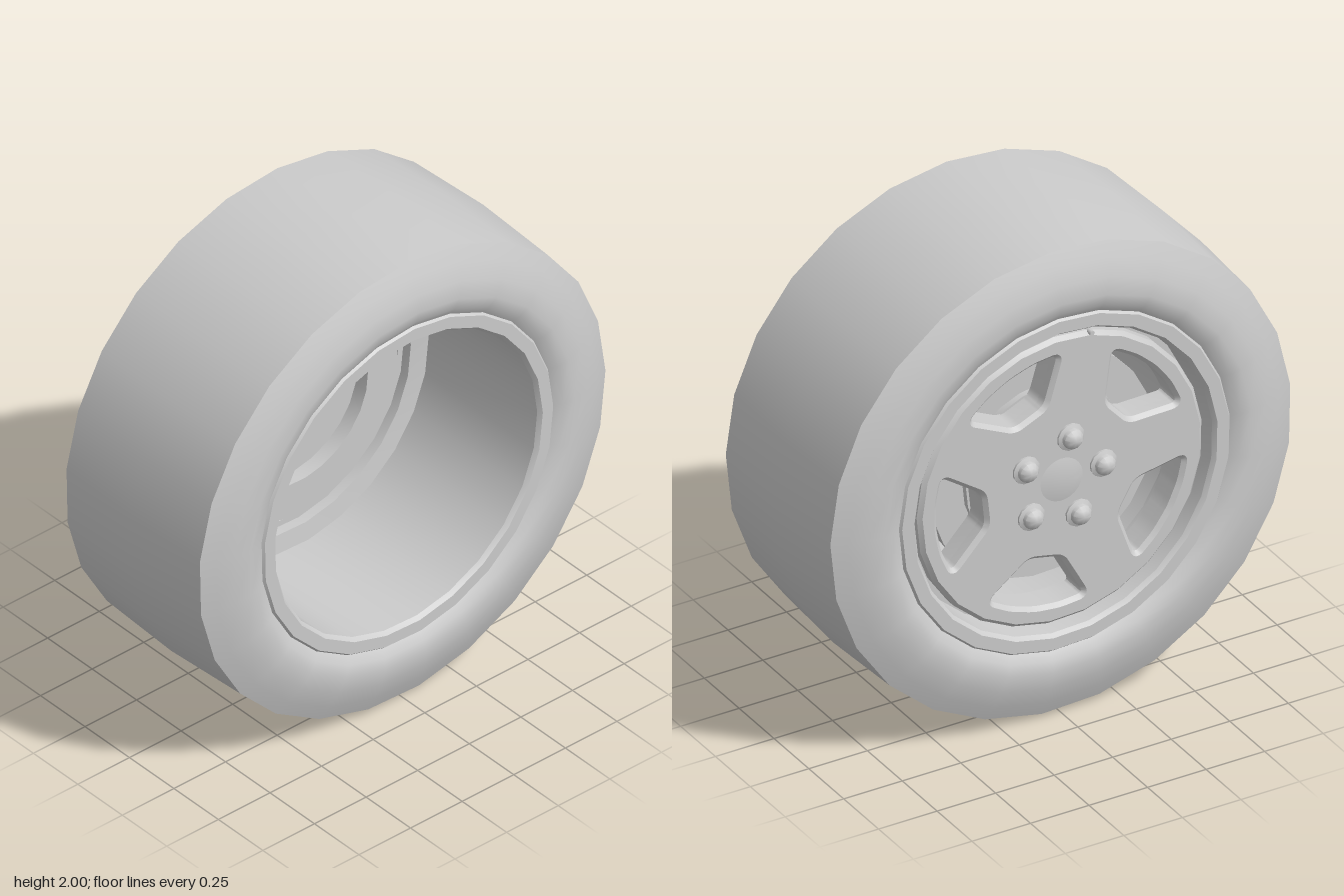
import * as THREE from 'three';
import { toCreasedNormals } from 'three/addons/utils/BufferGeometryUtils.js';

const SEG = 25, STEP = Math.PI * 2 / 5;
const rad = THREE.MathUtils.degToRad;
const SPOKE = rad(78); // direction of the first spoke
const polar = (r, a) => new THREE.Vector2(r * Math.cos(a), r * Math.sin(a));

export function createModel() {
  const model = new THREE.Group();
  model.name = 'wheel';
  const wheel = new THREE.Group(); // built with the axle on z, outer face at +z
  wheel.name = 'wheelAssembly';
  wheel.rotation.y = -Math.PI / 2;
  wheel.position.set(0, 0.999, 0.002);
  model.add(wheel);
  const material = new THREE.MeshStandardMaterial({ color: 0xcccccc });

  function add(name, geometry) {
    const mesh = new THREE.Mesh(geometry, material);
    mesh.name = name;
    wheel.add(mesh);
    return mesh;
  }

  // Profile of [radius, depth] turned around the z axis
  function turned(profile, segments = SEG, crease = 0.5) {
    const points = profile.map(([r, z]) => new THREE.Vector2(r, z));
    const g = new THREE.LatheGeometry(points, segments, rad(168));
    g.rotateX(Math.PI / 2);
    return toCreasedNormals(g, crease);
  }

  // Closed outline with softened corners
  function rounded(path, pts, radius) {
    const n = pts.length;
    const toward = (p, q) => p.clone().lerp(q, Math.min(0.5, radius / p.distanceTo(q)));
    pts.forEach((p, i) => {
      const a = toward(p, pts[(i + n - 1) % n]), b = toward(p, pts[(i + 1) % n]);
      if (i === 0) path.moveTo(a.x, a.y);
      else path.lineTo(a.x, a.y);
      path.quadraticCurveTo(p.x, p.y, b.x, b.y);
    });
    path.closePath();
    return path;
  }

  // Opening widening from an inner edge to an outer arc
  function opening(angle, r0, half0, r1, half1, radius) {
    const pts = [polar(r0, angle + half0), polar(r0, angle - half0)];
    for (let i = 0; i <= 4; i++) pts.push(polar(r1, angle - half1 + half1 * i / 2));
    return rounded(new THREE.Path(), pts, radius);
  }

  // Disc with five windows; the back layer also has spoke pockets and hub cups
  function facePlate(radius, depth, bevel, isBack) {
    const shape = new THREE.Shape();
    shape.setFromPoints(Array.from({ length: SEG }, (_, i) => polar(radius, SPOKE + i * Math.PI * 2 / SEG)));
    for (let i = 0; i < 5; i++) {
      const a = SPOKE + i * STEP;
      shape.holes.push(opening(a + STEP / 2, 0.335, rad(12), 0.53, rad(23), 0.03));
      if (isBack) {
        shape.holes.push(opening(a, 0.4, rad(8), 0.53, rad(10.5), 0.03));
        const c = polar(0.177, a);
        shape.holes.push(new THREE.Path().absarc(c.x, c.y, 0.05, 0, Math.PI * 2, true));
      }
    }
    if (isBack) shape.holes.push(new THREE.Path().absarc(0, 0, 0.09, 0, Math.PI * 2, true));
    const g = new THREE.ExtrudeGeometry(shape, {
      depth, curveSegments: 6, bevelEnabled: bevel > 0,
      bevelSize: bevel, bevelThickness: bevel, bevelOffset: -bevel, bevelSegments: 1,
    });
    return toCreasedNormals(g, 0.45);
  }

  // Tyre, same sidewall on both sides
  const side = [[0.985, 0.375], [0.925, 0.4], [0.855, 0.423], [0.785, 0.433], [0.74, 0.424], [0.705, 0.4]];
  add('tyre', turned([
    ...side.map(([r, z]) => [r, -z]).reverse(), [1.001, 0], ...side, [0.705, -0.4],
  ], SEG, 0.95));

  // Rim with flanges, a straight barrel and a web carrying the face
  add('rim', turned([
    [0.71, -0.4], [0.71, 0.4], [0.7, 0.412], [0.65, 0.412], [0.637, 0.395],
    [0.63, 0.27], [0.555, 0.27], [0.555, 0.22], [0.632, 0.21],
    [0.637, -0.395], [0.65, -0.412], [0.7, -0.412], [0.71, -0.4],
  ]));

  // Five-spoke face, with hollow spoke ends behind it
  add('spokeFace', facePlate(0.61, 0.04, 0.016, false)).position.z = 0.324;
  add('spokeBack', facePlate(0.59, 0.07, 0, true)).position.z = 0.26;

  // Brake disc with a deep hub opening
  add('brakeDisc', turned([
    [0.33, 0.2], [0.475, 0.2], [0.475, 0.24], [0.34, 0.24], [0.34, 0.265], [0.33, 0.265], [0.33, 0.2],
  ]));
  add('hubCup', turned([[0, 0.292], [0.045, 0.285], [0.092, 0.26]]));
  add('hubCap', turned([[0.09, 0.38], [0.06, 0.386], [0, 0.389]]));

  // Wheel nuts, with hollow collars on the inner side
  const nut = turned([
    [0, 0.37], [0.056, 0.37], [0.056, 0.388], [0.042, 0.394], [0.04, 0.409], [0.026, 0.424], [0, 0.429],
  ], 12, 0.7);
  const collar = turned([
    [0, 0.306], [0.025, 0.3], [0.037, 0.28], [0.042, 0.25], [0.055, 0.25], [0.06, 0.262],
  ], 12, 0.7);
  for (let i = 0; i < 5; i++) {
    const p = polar(0.177, SPOKE + i * STEP);
    add('wheelNut', nut).position.set(p.x, p.y, 0);
    add('studCollar', collar).position.set(p.x, p.y, 0);
  }

  // Air valve at the edge of the face
  const valve = add('airValve', new THREE.CylinderGeometry(0.01, 0.014, 0.12, 8));
  const v = polar(0.605, SPOKE);
  valve.rotation.x = Math.PI / 2;
  valve.position.set(v.x, v.y, 0.33);

  return model;
}
